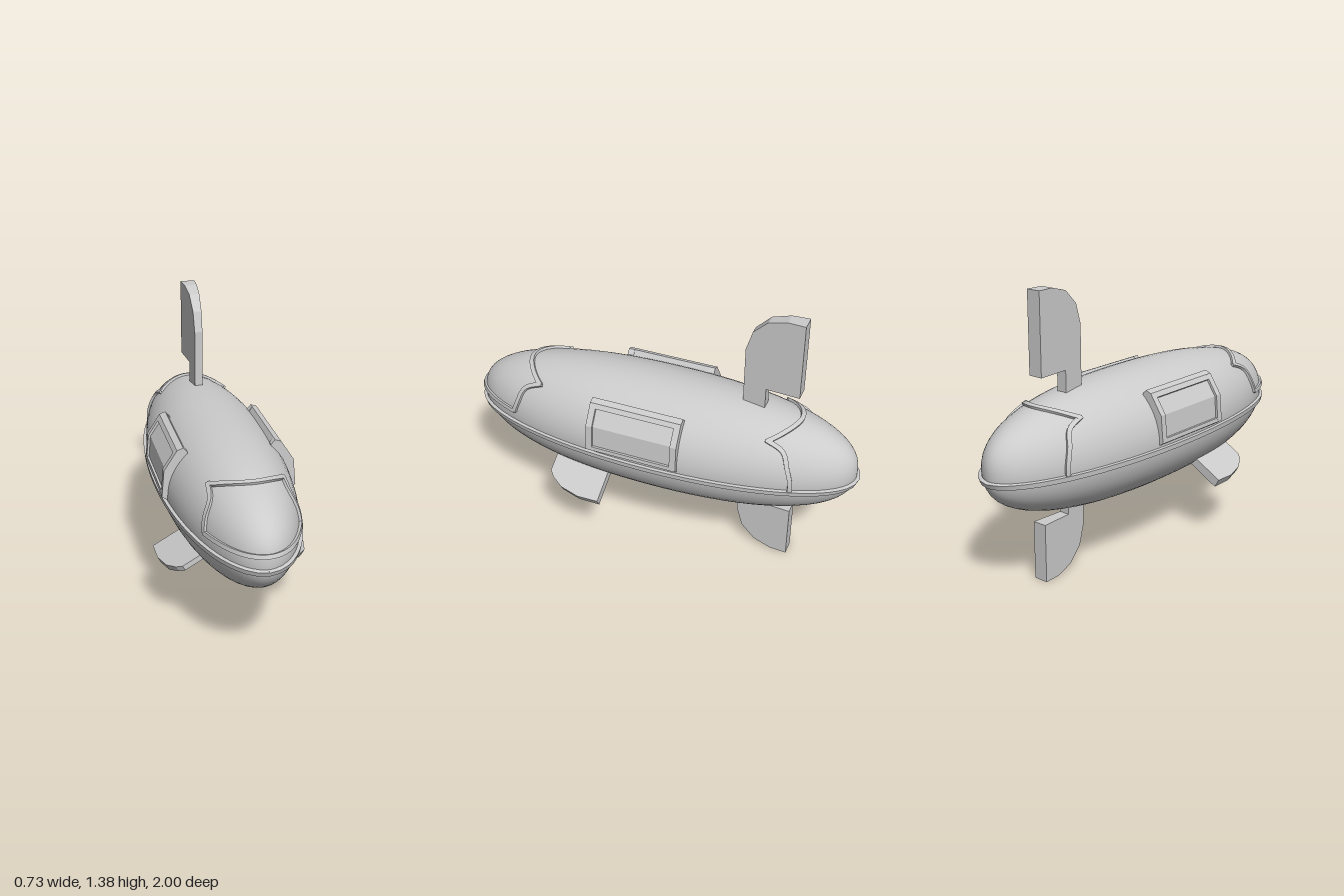
import * as THREE from 'three';
import { mergeVertices, toCreasedNormals } from 'three/addons/utils/BufferGeometryUtils.js';

const A = 0.31, B = 0.303, C = 0.985, CY = 0.604; // hull half sizes and axis height
const V = (x, y, z) => new THREE.Vector3(x, y, z);
const grey = new THREE.MeshStandardMaterial({ color: 0xcccccc });
const greyTwoSided = new THREE.MeshStandardMaterial({ color: 0xcccccc, side: THREE.DoubleSide });

// Hull half width and half height at a station z
const radius = (size, n, z) => size * Math.pow(Math.max(0, 1 - Math.pow(Math.abs(z) / C, n)), 1 / n);
const rx = z => radius(A, 2.05, z);
const ry = z => radius(B, 2.5, z);

// Push a point radially from the hull centre onto its skin
function project(p) {
  const d = V(p.x, p.y - CY, p.z).normalize();
  let lo = 0, hi = 1.1;
  for (let i = 0; i < 30; i++) {
    const s = (lo + hi) / 2, z = d.z * s;
    const inside = Math.abs(z) < C && (d.x * s / rx(z)) ** 2 + (d.y * s / ry(z)) ** 2 < 1;
    if (inside) lo = s; else hi = s;
  }
  return d.multiplyScalar(lo).add(V(0, CY, 0));
}

// Skin point on the +x side at station z and height y
function at(z, y) {
  const s = Math.min(1, (y - CY) / ry(z));
  return V(rx(z) * Math.sqrt(1 - s * s), y, z);
}

const mirrored = pts => [...pts.slice(1).reverse().map(p => V(-p.x, p.y, p.z)), ...pts];
const flip = pts => pts.map(p => V(-p.x, p.y, p.z));

// Raised moulding with a rectangular section, following a curve on the skin
function moulding(name, pts, half, height, steps, closed = false) {
  const curve = new THREE.CatmullRomCurve3(pts, closed);
  const pos = [], idx = [];
  for (let i = 0; i <= steps; i++) {
    const u = i / steps, p = project(curve.getPointAt(u));
    const n = V(p.x / A ** 2, (p.y - CY) / B ** 2, p.z / C ** 2).normalize();
    const side = curve.getTangentAt(u).cross(n).normalize();
    for (const [w, h] of [[-half, -0.015], [-half, height], [half, height], [half, -0.015]]) {
      const q = p.clone().addScaledVector(side, w).addScaledVector(n, h);
      pos.push(q.x, q.y, q.z);
    }
    if (i < steps) for (let k = 0; k < 4; k++) {
      const a = i * 4 + k, b = i * 4 + (k + 1) % 4;
      idx.push(a, a + 4, b, b, a + 4, b + 4);
    }
  }
  if (!closed) {
    const e = steps * 4;
    idx.push(0, 1, 2, 0, 2, 3, e, e + 2, e + 1, e, e + 3, e + 2);
  }
  const g = new THREE.BufferGeometry();
  g.setAttribute('position', new THREE.Float32BufferAttribute(pos, 3));
  g.setIndex(idx);
  const mesh = new THREE.Mesh(toCreasedNormals(g, 0.6), greyTwoSided);
  mesh.name = name;
  return mesh;
}

// Fin outline in (z, y), thickness growing from the leading to the trailing edge
function fin(name, outline, zFront, zBack, halfFront, halfBack) {
  const shape = new THREE.Shape(outline.map(p => new THREE.Vector2(...p)));
  const g = new THREE.ExtrudeGeometry(shape, { depth: 2, bevelEnabled: false });
  g.translate(0, 0, -1).rotateY(-Math.PI / 2);
  const p = g.attributes.position;
  for (let i = 0; i < p.count; i++) {
    const t = (zFront - p.getZ(i)) / (zFront - zBack);
    p.setX(i, p.getX(i) * THREE.MathUtils.lerp(halfFront, halfBack, t));
  }
  g.computeVertexNormals();
  const mesh = new THREE.Mesh(g, grey);
  mesh.name = name;
  return mesh;
}

// Bar with an (x, y) section running along z
function bar(name, section, z0, z1) {
  const shape = new THREE.Shape(section.map(p => new THREE.Vector2(...p)));
  const g = new THREE.ExtrudeGeometry(shape, { depth: z1 - z0, bevelEnabled: false });
  const mesh = new THREE.Mesh(g.translate(0, 0, z0), greyTwoSided);
  mesh.name = name;
  return mesh;
}

function sideWindow(name) {
  const group = new THREE.Group();
  group.name = name;
  const frame = [[0.2, 0.83], [0.22, 0.853], [0.25, 0.842], [0.313, 0.745], [0.325, 0.612], [0.3, 0.596], [0.2, 0.6]];
  const pane = [[0.2, 0.82], [0.245, 0.826], [0.303, 0.74], [0.313, 0.615], [0.2, 0.615]];
  group.add(
    bar('windowFrontBar', frame, 0.245, 0.277),
    bar('windowRearBar', frame, -0.187, -0.155),
    bar('windowTopBar', [[0.2, 0.82], [0.22, 0.853], [0.25, 0.842], [0.264, 0.82], [0.24, 0.8]], -0.155, 0.245),
    bar('windowBottomBar', [[0.28, 0.6], [0.28, 0.632], [0.323, 0.632], [0.325, 0.612], [0.3, 0.596]], -0.155, 0.245),
    bar('windowPane', pane, -0.155, 0.245));
  return group;
}

export function createModel() {
  const model = new THREE.Group();
  model.name = 'submarine';

  // Hull
  let hullGeo = new THREE.SphereGeometry(1, 48, 40).rotateX(Math.PI / 2);
  const p = hullGeo.attributes.position;
  for (let i = 0; i < p.count; i++) {
    const q = project(V(p.getX(i) * A, CY + p.getY(i) * B, p.getZ(i) * C));
    p.setXYZ(i, q.x, q.y, q.z);
  }
  hullGeo.deleteAttribute('uv');
  hullGeo.deleteAttribute('normal');
  hullGeo = mergeVertices(hullGeo, 1e-4);
  hullGeo.computeVertexNormals();
  const hull = new THREE.Mesh(hullGeo, grey);
  hull.name = 'hull';
  model.add(hull);

  // Rim running round the waist
  const rim = [];
  for (let i = 0; i < 48; i++) {
    const t = i / 48 * Math.PI * 2;
    rim.push(project(V(A * Math.sin(t), 0.566 + 0.01 * Math.abs(Math.sin(t)), C * Math.cos(t))));
  }
  model.add(moulding('waistRim', rim, 0.012, 0.015, 96, true));

  // Windscreen frames at the bow and stern
  for (const [end, s, low] of [['front', 1, 0.64], ['rear', -1, 0.575]]) {
    const top = [V(0, 0.85, s * 0.705), at(s * 0.66, 0.835), at(s * 0.58, 0.802)];
    const side = [at(s * 0.575, 0.807), at(s * 0.66, 0.77), at(s * 0.695, 0.7), at(s * 0.715, low)];
    model.add(
      moulding(end + 'ScreenTop', mirrored(top), 0.011, 0.012, 32),
      moulding(end + 'ScreenLeft', side, 0.011, 0.012, 16),
      moulding(end + 'ScreenRight', flip(side), 0.011, 0.012, 16));
  }
  const sill = [V(0, 0.64, 0.98), V(0.09, 0.64, 0.945), at(0.84, 0.64), at(0.715, 0.64)];
  model.add(moulding('frontScreenSill', mirrored(sill), 0.01, 0.012, 48));

  // Side windows
  const left = sideWindow('leftWindow');
  const right = sideWindow('rightWindow');
  right.scale.x = -1;
  model.add(left, right);

  // Tail fins
  model.add(
    fin('upperTailFin', [[-0.41, 0.85], [-0.41, 1.18], [-0.44, 1.28], [-0.51, 1.35], [-0.6, 1.375],
      [-0.685, 1.375], [-0.685, 0.985], [-0.52, 0.985], [-0.52, 0.85]].reverse(), -0.41, -0.685, 0.02, 0.037),
    fin('lowerTailFin', [[-0.41, 0.36], [-0.41, 0.2], [-0.44, 0.1], [-0.51, 0.03], [-0.6, 0],
      [-0.685, 0], [-0.685, 0.285], [-0.52, 0.285], [-0.52, 0.36]], -0.41, -0.685, 0.02, 0.037));

  // Bow planes angled down and outward
  for (const [name, s] of [['leftBowPlane', 1], ['rightBowPlane', -1]]) {
    const plane = fin(name, [[0.21, 0.18], [0.505, 0.18], [0.505, 0.31], [0.48, 0.34], [0.42, 0.38],
      [0.32, 0.406], [0.21, 0.406]], 0.505, 0.21, 0.013, 0.023);
    plane.position.y = 0.506;
    plane.rotation.z = -s * Math.PI * 2 / 3;
    model.add(plane);
  }
  return model;
}
